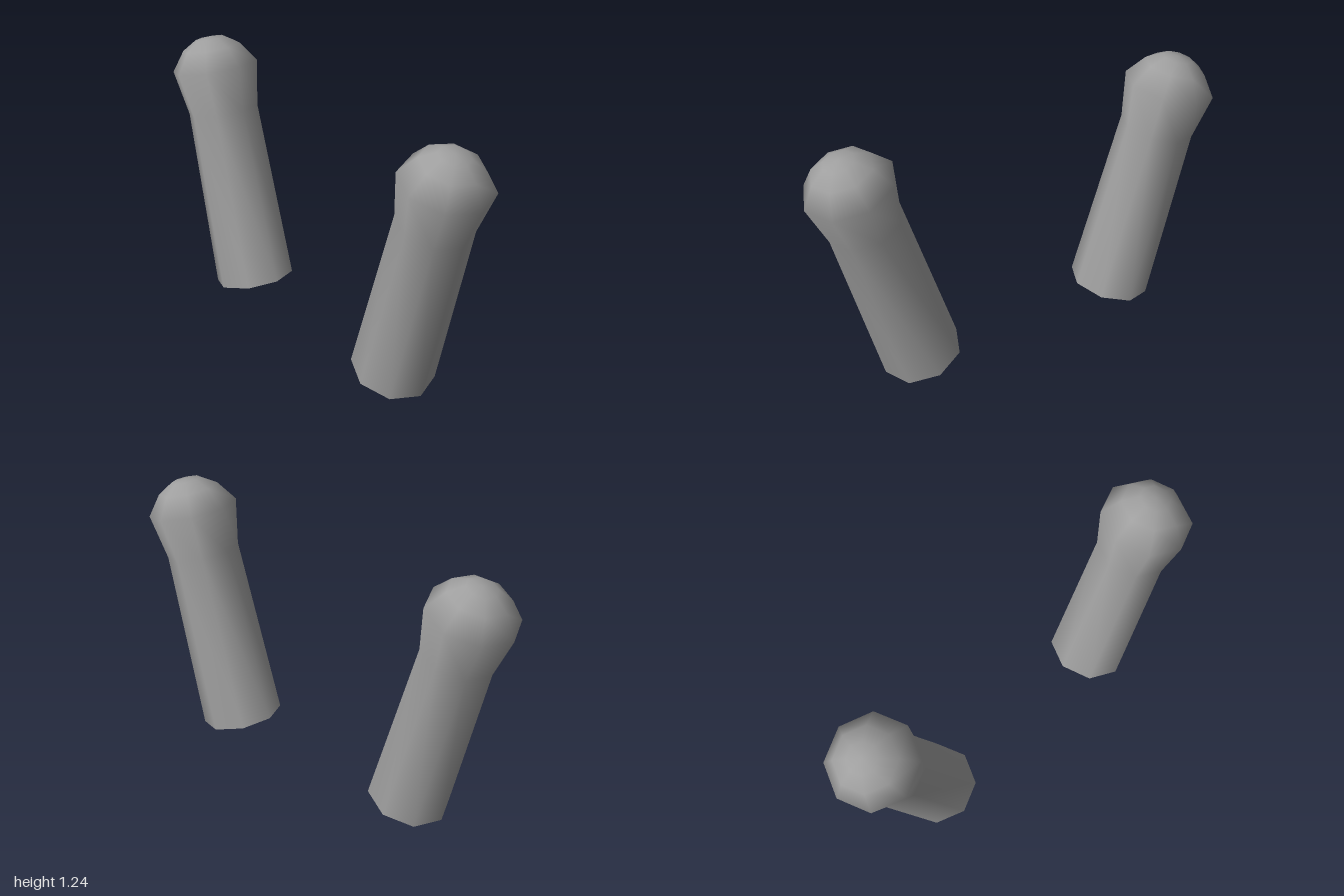
import * as THREE from 'three';
import { mergeVertices } from 'three/addons/utils/BufferGeometryUtils.js';

export function createModel() {
  const model = new THREE.Group();
  const material = new THREE.MeshStandardMaterial({ color: 0x9f9f9f, side: THREE.DoubleSide });

  // Open tube with a narrow neck and a domed knob, as radius and height along its axis
  const profile = [
    [0.192, 0], [0.17, 0.865], [0.208, 1.079],
    [0.14, 1.172], [0.07, 1.215], [0, 1.223],
  ].map(([r, h]) => new THREE.Vector2(r, h));

  // Weld the seam and the tip so the shading runs smoothly over the dome
  const lathe = new THREE.LatheGeometry(profile, 8);
  lathe.deleteAttribute('normal');
  lathe.deleteAttribute('uv');
  const geometry = mergeVertices(lathe);
  geometry.computeVertexNormals();

  // Mirrored pair leaning outwards
  for (const side of [1, -1]) {
    const post = new THREE.Mesh(geometry, material);
    post.name = side > 0 ? 'leftPost' : 'rightPost';
    post.position.set(side * 0.52, 0.05, 0);
    post.rotation.z = -side * THREE.MathUtils.degToRad(15);
    model.add(post);
  }
  return model;
}
